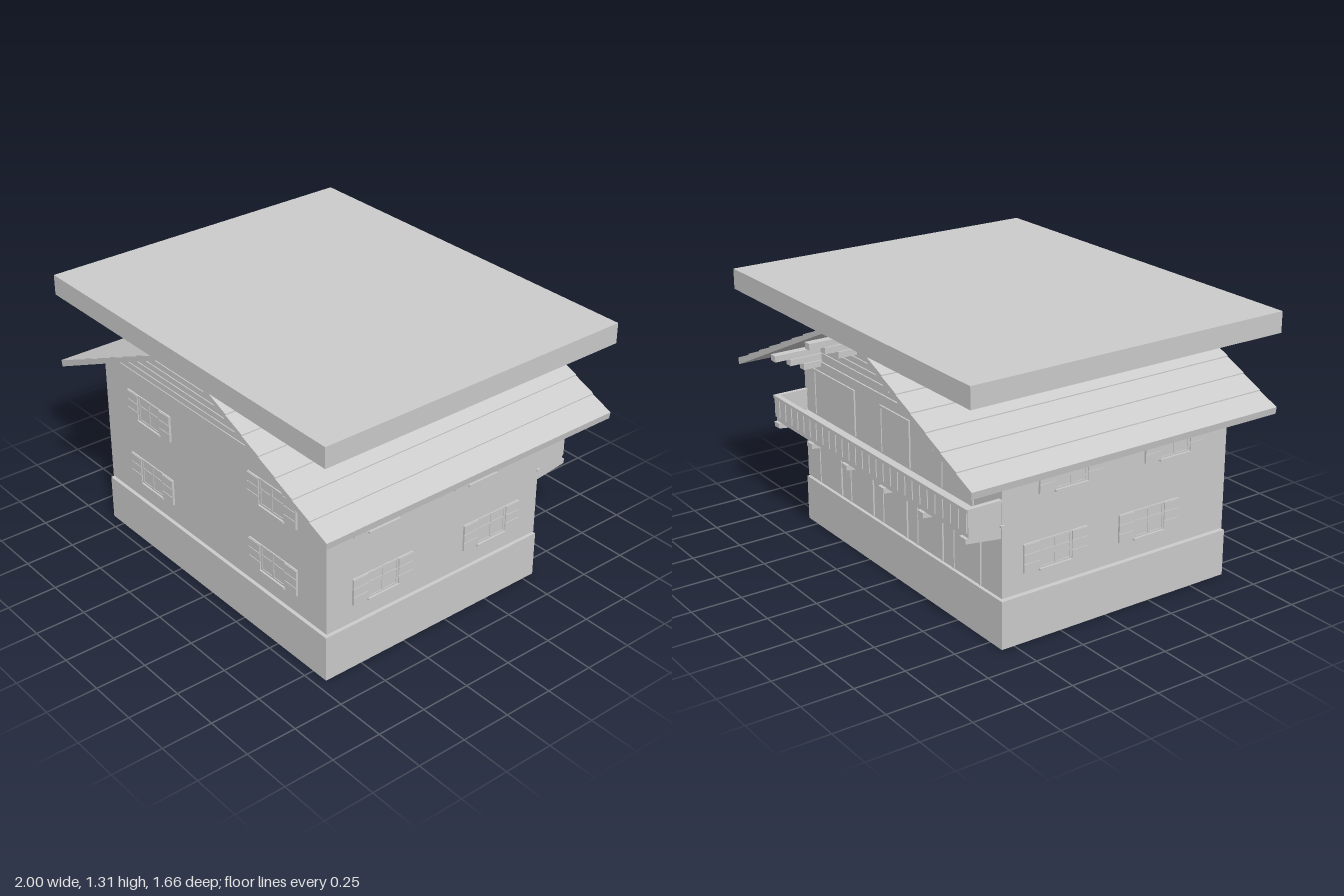
import * as THREE from 'three';

const plaster = new THREE.MeshStandardMaterial({ color: 0xcccccc });
plaster.name = 'light grey';

// Box given by its x, y and z limits
function box(parent, name, x0, x1, y0, y1, z0, z1) {
  const m = new THREE.Mesh(new THREE.BoxGeometry(x1 - x0, y1 - y0, z1 - z0), plaster);
  m.position.set((x0 + x1) / 2, (y0 + y1) / 2, (z0 + z1) / 2);
  m.name = name;
  parent.add(m);
  return m;
}

function extrude(parent, name, shape, depth) {
  const m = new THREE.Mesh(new THREE.ExtrudeGeometry(shape, { depth, bevelEnabled: false }), plaster);
  m.name = name;
  parent.add(m);
  return m;
}

const polygon = pts => new THREE.Shape(pts.map(p => new THREE.Vector2(...p)));

// Window facing +z with mullions, sill and two slatted shutters
function makeWindow(w, h, sw) {
  const g = new THREE.Group();
  g.name = 'window';
  box(g, 'pane', -w / 2, w / 2, 0, h, -0.005, 0.003);
  for (const x of [-w / 2 + 0.006, 0, w / 2 - 0.006]) box(g, 'mullion', x - 0.006, x + 0.006, 0, h, 0, 0.006);
  for (const y of [0.006, h * 0.6, h - 0.006]) box(g, 'crossbar', -w / 2, w / 2, y - 0.005, y + 0.005, 0, 0.006);
  box(g, 'sill', -w / 2, w / 2, -0.008, 0.002, -0.005, 0.015);
  for (const s of [-1, 1]) {
    const c = s * (w + sw) / 2;
    box(g, 'shutter', c - sw / 2, c + sw / 2, 0, h, -0.005, 0.008);
    for (let i = 0; i < 3; i++) {
      box(g, 'shutterBoard', c - sw / 2, c + sw / 2, h * i / 3 + 0.003, h * (i + 1) / 3 - 0.003, 0, 0.011);
    }
  }
  return g;
}

function placeWindow(parent, x, y, z, turn, w = 0.175, h = 0.135, sw = 0.083) {
  const g = makeWindow(w, h, sw);
  g.position.set(x, y, z);
  g.rotation.y = turn;
  parent.add(g);
}

// Framed door or panel on the back wall
function backPanel(parent, name, x, w, y0, y1, z) {
  const f = 0.012;
  box(parent, name, x - w / 2, x + w / 2, y0, y1, z - 0.003, z + 0.005);
  for (const s of [-1, 1]) {
    const e = x + s * (w / 2 - f / 2);
    box(parent, name + 'Jamb', e - f / 2, e + f / 2, y0, y1, z - 0.008, z);
  }
  box(parent, name + 'Lintel', x - w / 2, x + w / 2, y1 - f, y1, z - 0.008, z);
}

export function createModel() {
  const house = new THREE.Group();
  house.name = 'chalet';
  const BACK = -0.56, FRONT = 0.69, SIDE = 0.83;

  // Hollow plinth with a ceiling
  const rim = polygon([[-0.838, -0.7], [0.838, -0.7], [0.838, 0.565], [-0.838, 0.565]]);
  rim.holes.push(new THREE.Path([[-0.755, -0.62], [0.755, -0.62], [0.755, 0.485], [-0.755, 0.485]]
    .map(p => new THREE.Vector2(...p))));
  extrude(house, 'plinth', rim, 0.2).rotation.x = -Math.PI / 2;
  box(house, 'plinthTop', -0.838, 0.838, 0.2, 0.23, -0.565, 0.7);

  // Walls above a thin recessed joint
  box(house, 'joint', -0.805, 0.805, 0.229, 0.241, BACK + 0.02, FRONT - 0.03);
  box(house, 'walls', -SIDE, SIDE, 0.24, 0.9, BACK, FRONT);

  // Stepped gable planks, alternating slightly in depth to show the joints
  const rows = 9, y0 = 0.9, rowH = 0.305 / rows;
  for (let i = 0; i < rows; i++) {
    const top = y0 + (i + 1) * rowH;
    const hw = Math.min(0.8, 0.985 - (top - 0.83) / 0.455);
    box(house, 'gablePlank', -hw, hw, top - rowH, top - 0.005, BACK - 0.003, FRONT + 0.003);
    box(house, 'gableJoint', -hw, hw, top - 0.006, top + 0.001, BACK + 0.004, FRONT - 0.004);
  }

  // Gable roof with overlapping courses
  const courses = 9, right = [];
  const topY = x => 1.305 - 0.449 * x;
  for (let i = 0; i < courses; i++) {
    const a = 1 - i / courses, b = 1 - (i + 1) / courses;
    right.push([a, topY(a) + 0.005], [b, topY(b)]);
  }
  const left = right.slice(0, -1).reverse().map(([x, y]) => [-x, y]);
  const roof = extrude(house, 'roof', polygon([[0, 1.283], [0.995, 0.828], ...right, ...left, [-0.995, 0.828]]), 1.656);
  roof.position.z = -0.828;

  // Flat slab over the ridge
  box(house, 'topSlab', -0.997, 0.993, 1.21, 1.31, -0.83, 0.83);

  // Stacked purlin ends below the back eave
  for (const x of [-0.67, -0.335, 0, 0.335, 0.67]) {
    const under = 1.28 - 0.457 * (Math.abs(x) + 0.02);
    [0.25, 0.17, 0.1].forEach((len, i) => {
      box(house, 'purlinEnd', x - 0.02, x + 0.02, under - 0.034 * (i + 1), under - 0.034 * i - 0.003, BACK - len, BACK + 0.02);
    });
  }

  // Windows: front, both sides and attic
  for (const x of [-0.465, 0.465]) for (const y of [0.335, 0.68]) placeWindow(house, x, y, FRONT, 0);
  for (const [z, y] of [[0.378, 0.68], [-0.2, 0.68], [0.378, 0.332], [-0.27, 0.332]]) {
    placeWindow(house, SIDE, y, z, Math.PI / 2);
  }
  for (const [z, y] of [[0.378, 0.68], [-0.2, 0.68], [0.24, 0.332], [-0.28, 0.332]]) {
    placeWindow(house, -SIDE, y, z, -Math.PI / 2);
  }
  placeWindow(house, 0, 0.99, BACK - 0.003, Math.PI, 0.09, 0.12, 0.035);

  // Back wall: five ground floor doors, three upper openings, plank joints
  for (let i = 0; i < 5; i++) backPanel(house, 'door', 0.6 - 0.293 * i, 0.215, 0.245, 0.5, BACK);
  backPanel(house, 'upperWindow', 0.54, 0.38, 0.6, 0.83, BACK);
  backPanel(house, 'upperWindow', 0, 0.25, 0.6, 0.83, BACK);
  backPanel(house, 'upperWindow', -0.5, 0.25, 0.6, 0.83, BACK);
  box(house, 'upperBeam', -0.835, 0.835, 0.86, 0.885, BACK - 0.008, BACK);
  box(house, 'floorBeam', -0.838, 0.838, 0.575, 0.585, BACK - 0.008, BACK + 0.01);

  // Balcony
  const balcony = new THREE.Group();
  balcony.name = 'balcony';
  house.add(balcony);
  box(balcony, 'balconyFloor', -0.825, 0.825, 0.565, 0.59, -0.725, BACK);
  box(balcony, 'frontRailing', -0.825, 0.825, 0.59, 0.69, -0.73, -0.718);
  box(balcony, 'frontRail', -0.83, 0.83, 0.685, 0.7, -0.737, -0.712);
  for (const s of [-1, 1]) {
    const x = s * 0.82;
    box(balcony, 'sideRailing', x - 0.006, x + 0.006, 0.59, 0.69, -0.725, BACK);
    box(balcony, 'sideRail', x - 0.011, x + 0.011, 0.685, 0.7, -0.735, BACK);
  }
  for (let i = 0; i < 28; i++) {
    const x = -0.8 + 1.6 * i / 27;
    box(balcony, 'baluster', x - 0.022, x + 0.022, 0.592, 0.684, -0.735, -0.729);
  }
  // Sloping brackets
  const arm = polygon([[0.55, 0.518], [0.74, 0.542], [0.74, 0.566], [0.55, 0.566]]);
  for (let i = 0; i < 6; i++) {
    const m = extrude(balcony, 'bracket', arm, 0.045);
    m.rotation.y = Math.PI / 2;
    m.position.x = -0.822 + i * 0.32;
  }
  return house;
}
